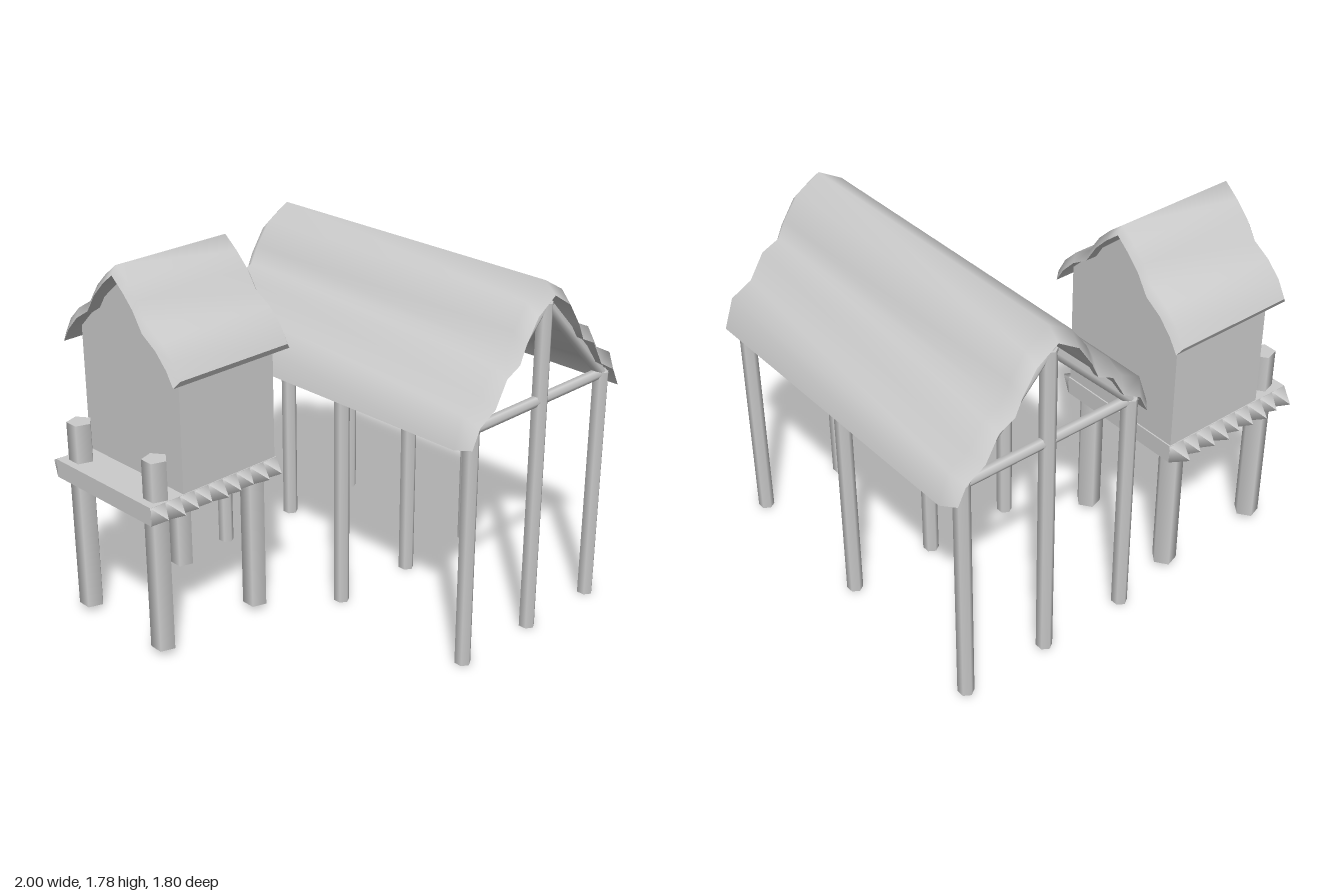
import * as THREE from 'three';

const material = new THREE.MeshStandardMaterial({ color: 0xcccccc });
const thin = new THREE.MeshStandardMaterial({ color: 0xcccccc, side: THREE.DoubleSide });

function add(parent, name, geometry, mat = material) {
  const mesh = new THREE.Mesh(geometry, mat);
  mesh.name = name;
  parent.add(mesh);
  return mesh;
}

// Round pole between two points
function pole(parent, name, from, to, radius, sides) {
  const a = new THREE.Vector3(...from), b = new THREE.Vector3(...to);
  const mesh = add(parent, name, new THREE.CylinderGeometry(radius, radius, a.distanceTo(b), sides));
  mesh.position.copy(a).add(b).multiplyScalar(0.5);
  mesh.quaternion.setFromUnitVectors(new THREE.Vector3(0, 1, 0), b.sub(a).normalize());
  return mesh;
}

// Smooth sheet through cross-sections, each { z, points: [[x, y], ...] }
function sheet(sections) {
  const positions = [], index = [], n = sections[0].points.length;
  sections.forEach(({ z, points }, i) => {
    points.forEach(([x, y], j) => {
      positions.push(x, y, z);
      if (i && j) {
        const d = i * n + j, c = d - 1, b = d - n, a = b - 1;
        index.push(a, c, b, b, c, d);
      }
    });
  });
  const geometry = new THREE.BufferGeometry();
  geometry.setAttribute('position', new THREE.Float32BufferAttribute(positions, 3));
  geometry.setIndex(index);
  geometry.computeVertexNormals();
  return geometry;
}

// Wavy thatched roof with a ridge along z, bevelled towards its rim
function roof(half, { length, bevel, drop, narrow, rimY }) {
  const mirror = (pts) => [...pts.slice(1).reverse().map(([x, y]) => [-x, y]), ...pts];
  const outer = mirror(half);
  const inner = mirror(half.map(([x, y], i) => [x * narrow, i === half.length - 1 ? rimY : y - drop]));
  const e = length / 2, group = new THREE.Group();
  add(group, 'thatch', sheet([
    { z: -e, points: inner }, { z: bevel - e, points: outer },
    { z: e - bevel, points: outer }, { z: e, points: inner },
  ]), thin);
  add(group, 'thatchUnderside', sheet([{ z: -e, points: inner }, { z: e, points: inner }]), thin);
  // Narrow strips closing the eaves
  for (const k of [0, outer.length - 1]) {
    add(group, 'eave', sheet([
      { z: -e, points: [inner[k], inner[k]] }, { z: bevel - e, points: [outer[k], inner[k]] },
      { z: e - bevel, points: [outer[k], inner[k]] }, { z: e, points: [inner[k], inner[k]] },
    ]), thin);
  }
  return group;
}

function createShelter() {
  const shelter = new THREE.Group();
  shelter.name = 'openShelter';
  const [left, mid, right] = [-0.01, 0.447, 0.893];

  // Three rows of posts, the middle one carrying the ridge
  for (const z of [0.84, 0.06, -0.79]) {
    for (const x of [left, mid, right]) {
      const top = x === mid ? 1.62 : 1.17;
      pole(shelter, 'post', [x, 0, z], [x, top, z], 0.04, 6).scale.x = 0.92;
    }
  }

  // Gable trusses
  for (const z of [0.84, -0.79]) {
    pole(shelter, 'tieBeam', [left - 0.03, 1.16, z], [right + 0.03, 1.16, z], 0.026, 6);
    for (const x of [left, right]) {
      pole(shelter, 'rafter', [x, 1.16, z], [mid, 1.62, z], 0.026, 6);
    }
  }

  const top = roof(
    [[0, 1.72], [0.12, 1.65], [0.2, 1.54], [0.24, 1.46], [0.33, 1.42], [0.405, 1.3], [0.51, 1.245], [0.56, 1.1]],
    { length: 1.74, bevel: 0.06, drop: 0.055, narrow: 0.91, rimY: 1.1 });
  top.name = 'shelterRoof';
  top.position.set(0.44, 0, 0.03);
  shelter.add(top);
  return shelter;
}

function createHut() {
  const hut = new THREE.Group();
  hut.name = 'stiltHut';
  const centreZ = -0.463;

  // Stilts; the outer pair rises above the deck
  for (const z of [-0.182, -0.728]) {
    for (const [x, top] of [[-0.914, 0.98], [-0.352, 0.72]]) {
      const post = add(hut, 'stilt', new THREE.CylinderGeometry(0.06, 0.06, top - 0.03, 5));
      post.position.set(x, (top + 0.03) / 2, z);
      post.rotation.y = 0.3;
    }
  }

  // Deck edged with sharpened log ends
  add(hut, 'deck', new THREE.BoxGeometry(0.74, 0.09, 0.69)).position.set(-0.63, 0.745, centreZ);
  for (let i = 0; i < 9; i++) {
    const x = -0.959 + i * 0.0823;
    for (const side of [1, -1]) {
      const length = 0.075 + 0.018 * ((i * 2 + (side > 0 ? 0 : 1)) % 3) / 2;
      const geometry = new THREE.ConeGeometry(0.045 * Math.SQRT2, length, 4);
      geometry.rotateY(Math.PI / 4).rotateX(side * Math.PI / 2);
      const tip = add(hut, 'logTip', geometry);
      tip.scale.x = 0.92;
      tip.position.set(x, 0.745, centreZ + side * (0.343 + length / 2));
    }
  }

  // Walls with gables facing sideways
  const wall = new THREE.Shape([
    [-0.34, 0.705], [0.34, 0.705], [0.34, 1.4], [0.16, 1.58], [0, 1.72], [-0.16, 1.58], [-0.34, 1.4],
  ].map(([x, y]) => new THREE.Vector2(x, y)));
  const walls = add(hut, 'walls', new THREE.ExtrudeGeometry(wall, { depth: 0.545, bevelEnabled: false }));
  walls.rotation.y = Math.PI / 2;
  walls.position.set(-0.812, 0, centreZ);

  const top = roof(
    [[0, 1.78], [0.075, 1.72], [0.14, 1.655], [0.2, 1.565], [0.29, 1.51], [0.36, 1.44], [0.405, 1.36]],
    { length: 0.67, bevel: 0.025, drop: 0.04, narrow: 0.96, rimY: 1.33 });
  top.name = 'hutRoof';
  top.rotation.y = Math.PI / 2;
  top.position.set(-0.545, 0, centreZ);
  hut.add(top);
  return hut;
}

export function createModel() {
  const model = new THREE.Group();
  model.name = 'stiltVillage';
  model.add(createShelter(), createHut());
  return model;
}
